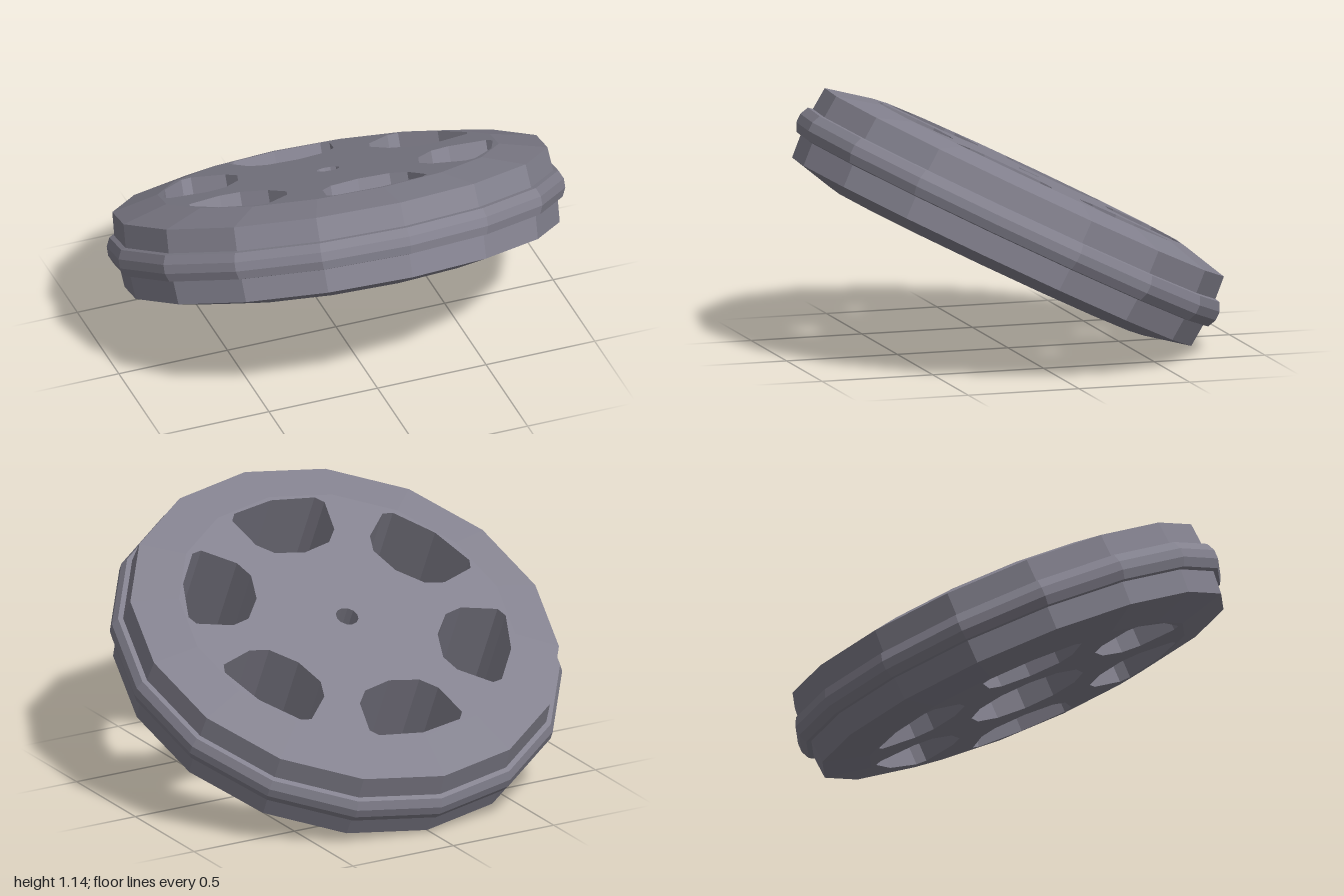
import * as THREE from 'three';

const HALF = 0.212;        // half thickness of the web
const WEB_R = 0.745;       // where the flat web meets the sloping rim
const RECESS_R = 0.26;     // wide recess in the underside of the hub

// Regular polygon with a corner on each axis
function polygon(radius, sides) {
  return Array.from({ length: sides }, (_, i) => {
    const a = (i / sides) * Math.PI * 2;
    return new THREE.Vector2(radius * Math.cos(a), radius * Math.sin(a));
  });
}

const lathe = (points, sides) =>
  new THREE.LatheGeometry(points.map(([r, h]) => new THREE.Vector2(r, h)), sides);

export function createModel() {
  const material = new THREE.MeshStandardMaterial({ color: 0x84828f, flatShading: true });
  const wheel = new THREE.Group();
  wheel.name = 'wheel';
  const add = (name, geometry) => {
    const mesh = new THREE.Mesh(geometry, material);
    mesh.name = name;
    wheel.add(mesh);
  };

  // Rim: sloping shoulders, tread and a low raised central band
  const lower = [[WEB_R, -HALF], [0.95, -0.165], [0.958, -0.062], [0.98, -0.058], [0.998, -0.02]];
  const upper = lower.map(([r, h]) => [r, -h]).reverse();
  add('rim', lathe([...lower, ...upper], 16));

  // Web: flat disc with six rounded openings and a central bore
  const web = new THREE.Shape(polygon(WEB_R, 16));
  web.holes.push(new THREE.Path(polygon(RECESS_R, 12)));
  const side = [[0.135, 0.43], [0.195, 0.495], [0.23, 0.655], [0.2, 0.692]];
  const opening = [
    [0, 0.4], ...side, [0, 0.725],
    ...side.map(([x, y]) => [-x, y]).reverse(),
  ].map(([x, y]) => new THREE.Vector2(x, y));
  const centre = new THREE.Vector2();
  for (let i = 0; i < 6; i++) {
    const points = opening.map((p) => p.clone().rotateAround(centre, (i * Math.PI) / 3));
    web.holes.push(new THREE.Path(points));
  }
  const webGeometry = new THREE.ExtrudeGeometry(web, { depth: 2 * HALF, bevelEnabled: false });
  webGeometry.translate(0, 0, -HALF).rotateX(-Math.PI / 2);
  add('web', webGeometry);

  // Hub: small axle hole above, stepped recess below
  add('hub', lathe([
    [RECESS_R, HALF], [0.05, HALF], [0.05, 0.02],
    [0.16, 0.02], [0.16, -0.065], [RECESS_R, -0.065],
  ], 12));

  // The wheel leans, front edge raised
  wheel.rotation.x = -Math.atan(0.5);
  wheel.position.y = 0.573;

  const model = new THREE.Group();
  model.name = 'tiltedWheel';
  model.add(wheel);
  return model;
}
